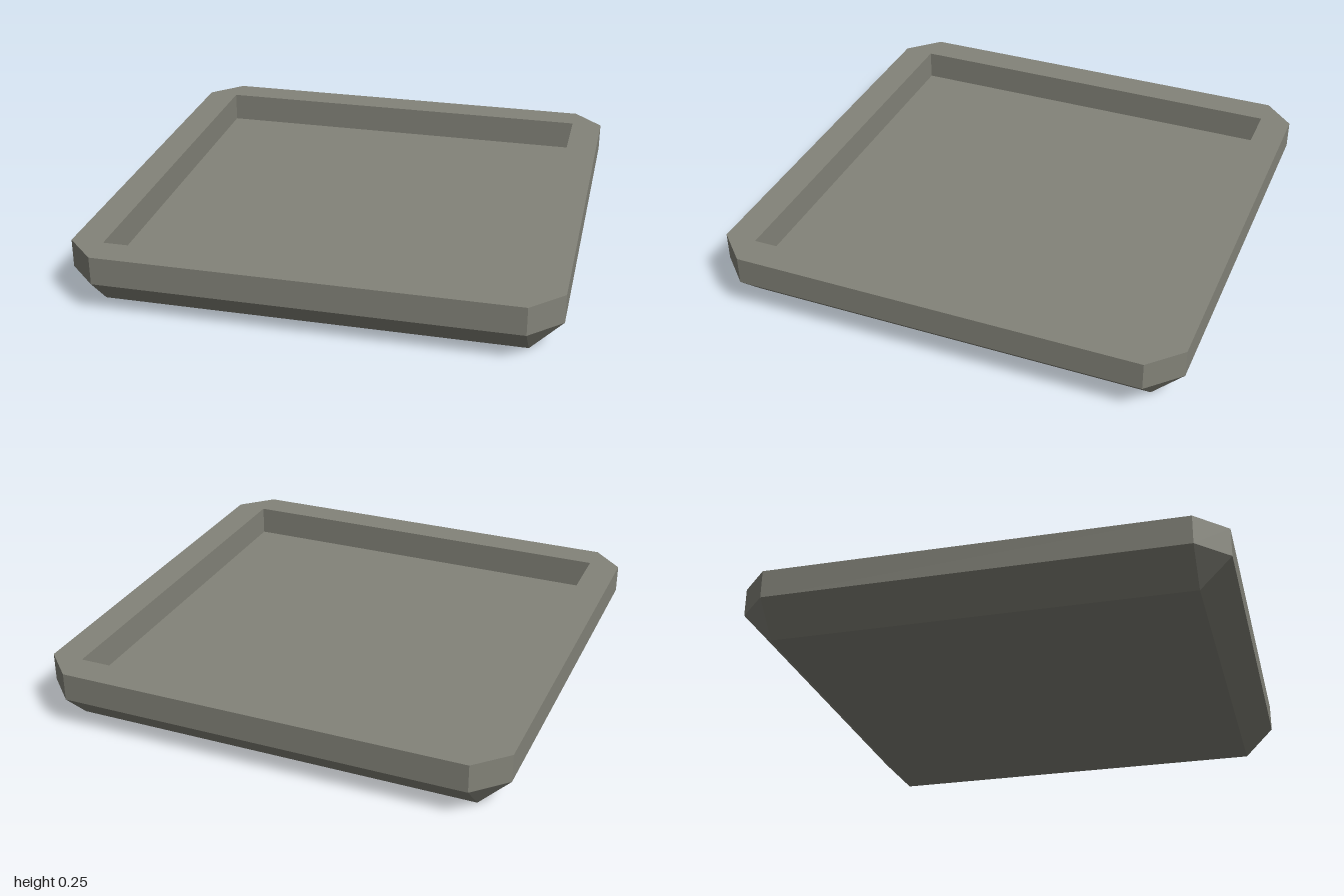
import * as THREE from 'three';

const HALF = 1;        // half of the outer width
const CHAMFER = 0.87;  // where the corner and underside chamfers begin
const INNER = 0.865;   // half of the recess width
const HEIGHT = 0.25;
const SIDE_Y = 0.13;   // top of the underside chamfer
const FLOOR_Y = 0.12;  // recess floor

// Eight-point ring: an octagon when a and b differ, a square when equal
function ring(a, b, y) {
  const points = [];
  for (let q = 0; q < 4; q++) {
    for (let [x, z] of [[a, b], [b, a]]) {
      for (let i = 0; i < q; i++) [x, z] = [-z, x];
      points.push(new THREE.Vector3(x, y, z));
    }
  }
  return points;
}

// Flat-faced skin through successive rings, leaving out empty triangles
function loft(name, rings, material) {
  const points = [];
  const addTriangle = (a, b, c) => {
    if (new THREE.Triangle(a, b, c).getArea() > 1e-6) points.push(a, b, c);
  };
  for (let r = 0; r < rings.length - 1; r++) {
    const low = rings[r], high = rings[r + 1];
    for (let i = 0; i < 8; i++) {
      const j = (i + 1) % 8;
      addTriangle(low[i], high[i], low[j]);
      addTriangle(high[i], high[j], low[j]);
    }
  }
  const geometry = new THREE.BufferGeometry().setFromPoints(points);
  geometry.computeVertexNormals();
  const mesh = new THREE.Mesh(geometry, material);
  mesh.name = name;
  return mesh;
}

export function createModel() {
  const group = new THREE.Group();
  group.name = 'tray';
  const material = new THREE.MeshStandardMaterial({ color: 0x838379, flatShading: true });

  // Underside, sloping chamfer and upright outer walls
  group.add(loft('outerShell', [
    ring(0, 0, 0),
    ring(CHAMFER, CHAMFER, 0),
    ring(HALF, CHAMFER, SIDE_Y),
    ring(HALF, CHAMFER, HEIGHT),
  ], material));

  // Flat top border around the recess
  group.add(loft('rim', [
    ring(HALF, CHAMFER, HEIGHT),
    ring(INNER, INNER, HEIGHT),
  ], material));

  // Square recess with upright walls and a flat floor
  group.add(loft('recess', [
    ring(INNER, INNER, HEIGHT),
    ring(INNER, INNER, FLOOR_Y),
    ring(0, 0, FLOOR_Y),
  ], material));

  return group;
}
